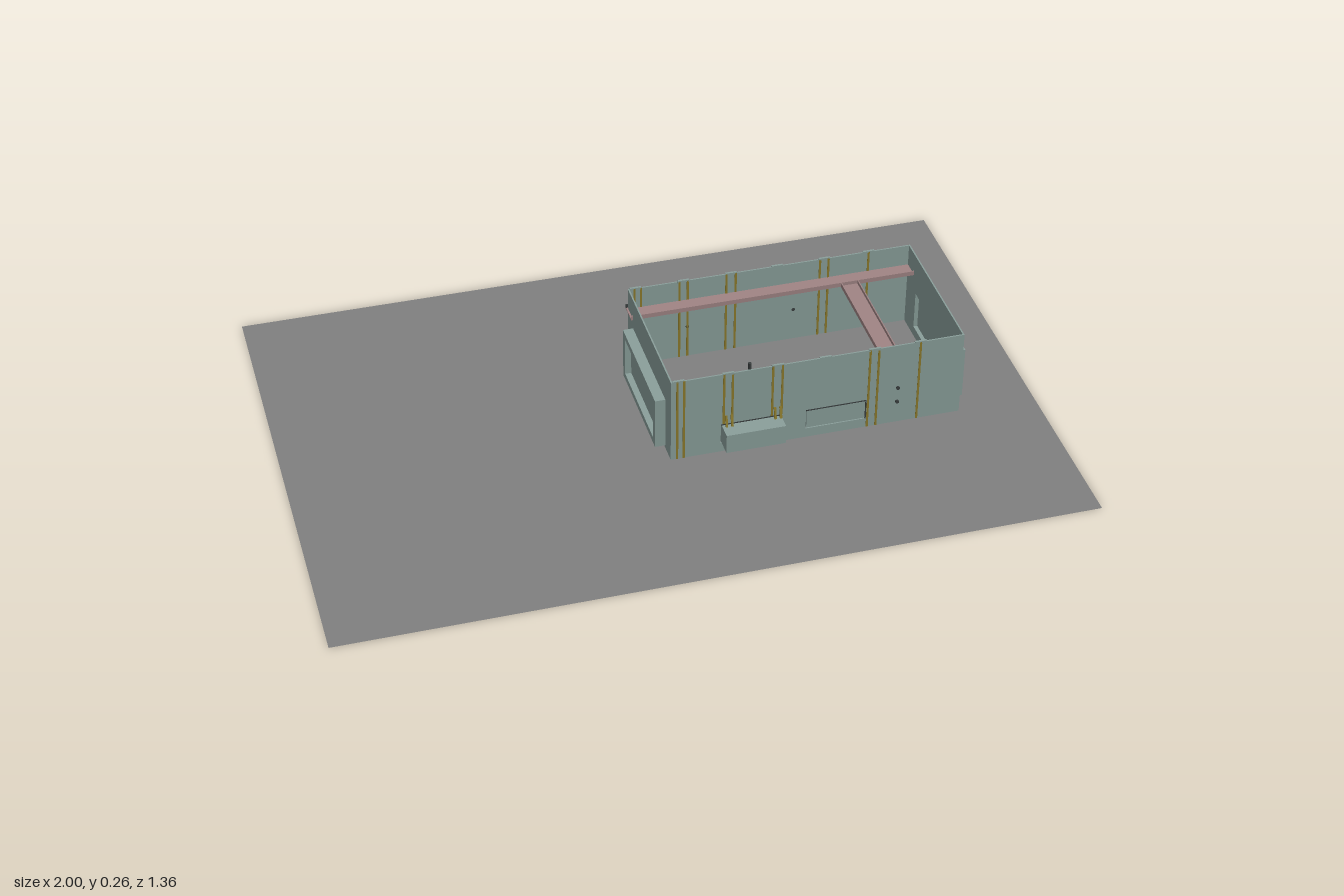
import * as THREE from 'three';

const mat = (color) => new THREE.MeshStandardMaterial({ color, side: THREE.DoubleSide });
const WALL = mat(0x8a9f9b), GROUND = mat(0x808080), DARK = mat(0x3a3f3f);
const BEAM = mat(0xa08484), TRIM = mat(0x8c7a2c);

// Room extents
const X0 = -0.015, X1 = 0.78, Z0 = -0.215, Z1 = 0.215, Y0 = 0.012, Y1 = 0.262, T = 0.004;

export function createModel() {
  const root = new THREE.Group();

  const add = (name, geo, material, parent = root) => {
    const m = new THREE.Mesh(geo, material);
    m.name = name;
    parent.add(m);
    return m;
  };
  // Box given by its minimum and maximum corners
  const box = (name, a, b, material, parent = root) => {
    const m = add(name, new THREE.BoxGeometry(b[0] - a[0], b[1] - a[1], b[2] - a[2]), material, parent);
    m.position.set((a[0] + b[0]) / 2, (a[1] + b[1]) / 2, (a[2] + b[2]) / 2);
    return m;
  };
  const rect = (P, x0, y0, x1, y1, r = 0) => {
    const p = new P();
    if (!r) {
      p.moveTo(x0, y0); p.lineTo(x1, y0); p.lineTo(x1, y1); p.lineTo(x0, y1); p.closePath();
      return p;
    }
    p.absarc(x1 - r, y0 + r, r, -Math.PI / 2, 0);
    p.absarc(x1 - r, y1 - r, r, 0, Math.PI / 2);
    p.absarc(x0 + r, y1 - r, r, Math.PI / 2, Math.PI);
    p.absarc(x0 + r, y0 + r, r, Math.PI, Math.PI * 1.5);
    p.closePath();
    return p;
  };
  const extrude = (shape, depth) =>
    new THREE.ExtrudeGeometry(shape, { depth, bevelEnabled: false, curveSegments: 6 });

  // Ground sheet with one open hatch (shape y maps to -z)
  const ground = rect(THREE.Shape, -1, -0.68, 1, 0.68);
  ground.holes.push(rect(THREE.Path, 0.385, -0.083, 0.598, 0.068, 0.035));
  add('ground', new THREE.ShapeGeometry(ground, 6), GROUND).rotation.x = -Math.PI / 2;

  // Raised rims round the closed and the open hatch
  for (const [name, x0, x1] of [['closedHatchRim', 0.09, 0.31], ['openHatchRim', 0.381, 0.602]]) {
    const rim = rect(THREE.Shape, x0, -0.087, x1, 0.072, 0.04);
    rim.holes.push(rect(THREE.Path, x0 + 0.005, -0.082, x1 - 0.005, 0.067, 0.035));
    add(name, extrude(rim, 0.01), name === 'closedHatchRim' ? DARK : GROUND).rotation.x = -Math.PI / 2;
  }
  const post = add('hatchPost', new THREE.CylinderGeometry(0.005, 0.005, 0.05, 8), DARK);
  post.position.set(0.29, 0.025, -0.085);

  // Front wall with two drawer slots
  const drawers = [0.12, 0.352];
  const front = rect(THREE.Shape, X0, Y0, X1, Y1);
  for (const x of drawers) front.holes.push(rect(THREE.Path, x, 0.04, x + 0.165, 0.1));
  add('frontWall', extrude(front, T), WALL).position.z = Z1 - T;
  box('backWall', [X0, Y0, Z0], [X1, Y1, Z0 + T], WALL);

  // End walls, each with a bay: opening, projecting frame and recessed panel
  for (const side of [-1, 1]) {
    const end = new THREE.Group();
    end.name = side > 0 ? 'leftEnd' : 'rightEnd';
    const wall = rect(THREE.Shape, Z0, Y0, Z1, Y1);
    wall.holes.push(rect(THREE.Path, -0.14, 0.04, 0.14, 0.15));
    add('endWall', extrude(wall, T), WALL, end).position.z = -T;
    const frame = rect(THREE.Shape, -0.162, 0.02, 0.162, 0.17);
    frame.holes.push(rect(THREE.Path, -0.142, 0.038, 0.142, 0.152));
    add('bayFrame', extrude(frame, 0.028), WALL, end);
    box('bayPanel', [-0.142, 0.038, 0.008], [0.142, 0.152, 0.011], WALL, end);
    end.rotation.y = side * Math.PI / 2;
    end.position.x = side > 0 ? X1 : X0;
    root.add(end);
  }

  // Drawers: the first pulled out, the second shut, each with a tray behind the wall
  drawers.forEach((x, i) => {
    const out = i === 0 ? 0.262 : Z1 - 0.001;
    box('drawer', [x + 0.002, 0.042, 0.176], [x + 0.163, 0.098, out], WALL);
    box('drawerTopSeam', [x, 0.098, Z1 - 0.006], [x + 0.165, 0.101, Z1 + 0.001], DARK);
    box('drawerSideSeam', [x + 0.163, 0.04, Z1 - 0.006], [x + 0.166, 0.1, Z1 + 0.001], DARK);
  });
  // Struts holding the open drawer
  for (const x of [0.133, 0.148, 0.265, 0.28]) {
    const strut = box('drawerStrut', [x - 0.003, 0.096, 0.22], [x + 0.003, 0.13, 0.224], TRIM);
    strut.rotation.x = -0.25;
  }

  // Vertical trim strips inside and outside on both long walls
  const strips = [0.002, 0.02, 0.127, 0.15, 0.258, 0.284, 0.522, 0.546, 0.66];
  for (const x of strips) {
    for (const z of [Z0, Z1 - T]) {
      const low = z > 0 && x > 0.12 && x < 0.29 ? 0.102 : Y0;
      box('trimStrip', [x - 0.003, low, z - 0.001], [x + 0.003, Y1, z + T + 0.001], TRIM);
    }
  }
  // Caps over the wall ribs
  for (const x of [0.005, 0.138, 0.271, 0.4, 0.534, 0.66]) {
    for (const z of [Z0, Z1 - T]) {
      box('ribCap', [x - 0.016, Y1 - 0.004, z - 0.001], [x + 0.016, Y1 + 0.003, z + T + 0.001], WALL);
    }
  }

  // Overhead channels: a floor plate between two lips
  box('longChannel', [-0.02, 0.197, -0.22], [0.788, 0.2, -0.162], BEAM);
  for (const z of [-0.22, -0.165]) {
    box('longChannelLip', [-0.02, 0.197, z], [0.788, 0.21, z + 0.003], z < -0.2 ? DARK : BEAM);
  }
  box('crossChannel', [0.567, 0.197, -0.162], [0.617, 0.2, Z1 - T], BEAM);
  for (const x of [0.567, 0.614]) {
    box('crossChannelLip', [x, 0.197, -0.162], [x + 0.003, 0.21, Z1 - T], BEAM);
  }
  box('backBaseRail', [X0, Y0, -0.22], [X1, 0.022, Z0], DARK);

  // Small knobs on the front and back walls
  for (const [x, y, z] of [[0.603, 0.08, Z1], [0.603, 0.125, Z1], [0.15, 0.11, Z0], [0.45, 0.11, Z0]]) {
    const knob = add('knob', new THREE.CylinderGeometry(0.005, 0.005, 0.01, 10), DARK);
    knob.rotation.x = Math.PI / 2;
    knob.position.set(x, y, z);
  }
  return root;
}
